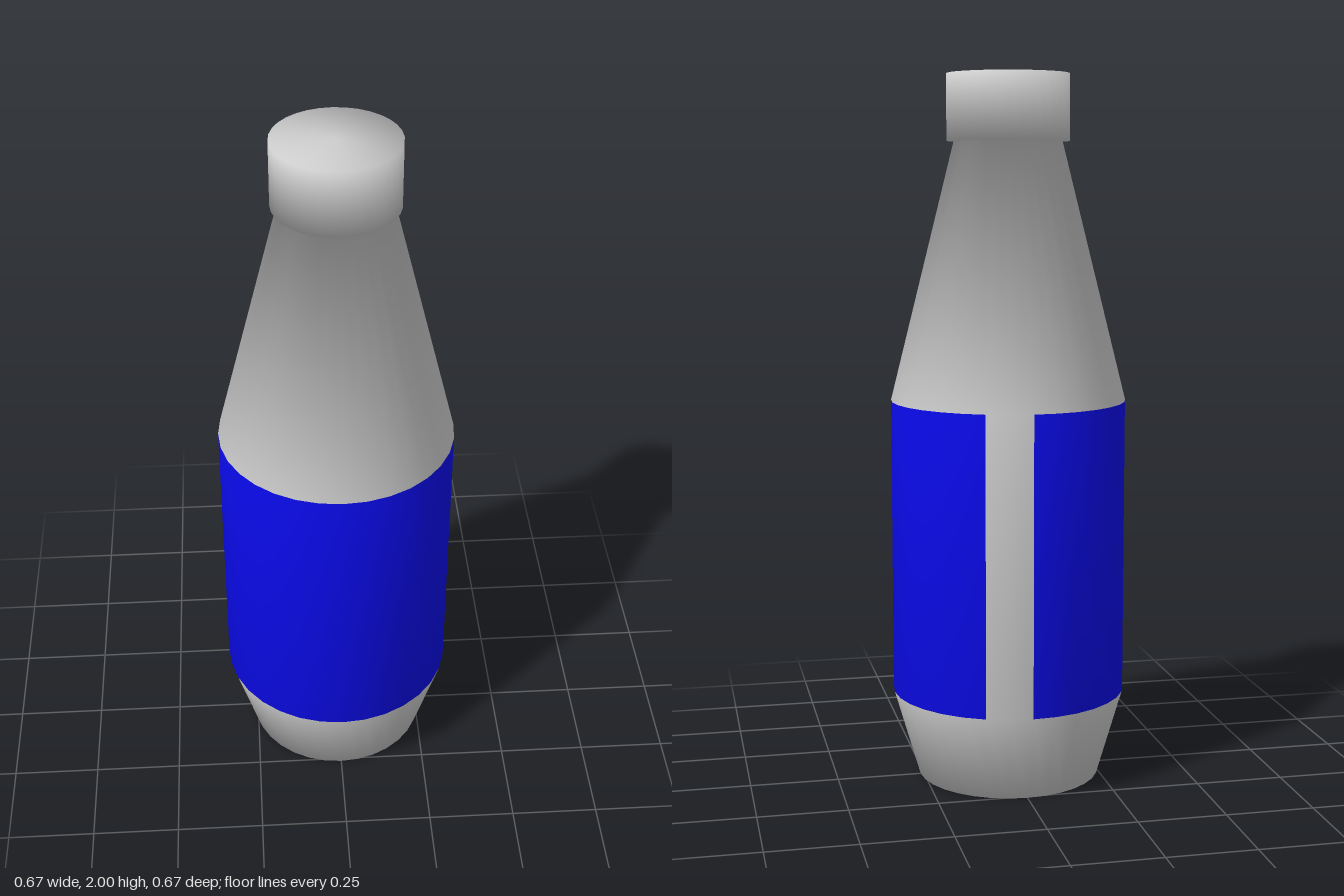
import * as THREE from 'three';

// Whole outline, bottom to top: [radius, height]
const PROFILE = [
  [0, 0], [0.26, 0], [0.333, 0.25], [0.333, 1.09],
  [0.152, 1.815], [0.172, 1.815], [0.172, 2], [0, 2],
].map(([r, y]) => new THREE.Vector2(r, y));

const SIDES = 32;
const STEP = (Math.PI * 2) / SIDES;

// Outward unit normal of each outline segment
const SEGMENT_NORMALS = PROFILE.slice(1).map((p, i) => {
  const d = p.clone().sub(PROFILE[i]);
  return new THREE.Vector2(d.y, -d.x).normalize();
});

// Smooth normal at each outline point: even mix of its two segments
const NORMALS = PROFILE.map((p, i) => {
  const a = SEGMENT_NORMALS[Math.max(i - 1, 0)];
  const b = SEGMENT_NORMALS[Math.min(i, SEGMENT_NORMALS.length - 1)];
  return a.clone().add(b).normalize();
});

// Revolve outline points first..last, over a number of sides starting at a given side
function turned(name, first, last, material, startSide = 0, sides = SIDES) {
  const points = PROFILE.slice(first, last + 1);
  const start = startSide * STEP;
  const geometry = new THREE.LatheGeometry(points, sides, start, sides * STEP);
  const normal = geometry.attributes.normal;
  for (let i = 0; i < normal.count; i++) {
    const phi = start + Math.floor(i / points.length) * STEP;
    const n = NORMALS[first + (i % points.length)];
    normal.setXYZ(i, n.x * Math.sin(phi), n.y, n.x * Math.cos(phi));
  }
  const mesh = new THREE.Mesh(geometry, material);
  mesh.name = name;
  return mesh;
}

export function createModel() {
  const grey = new THREE.MeshStandardMaterial({ color: 0xcccccc });
  grey.name = 'bottleGrey';
  const blue = new THREE.MeshStandardMaterial({ color: 0x0a0ae7 });
  blue.name = 'labelBlue';

  const bottle = new THREE.Group();
  bottle.name = 'bottle';
  bottle.add(
    turned('base', 0, 2, grey),
    // Label wraps the body, leaving a two-sided strip bare at the back
    turned('label', 2, 3, blue, 16, 30),
    turned('bareStrip', 2, 3, grey, 14, 2),
    turned('neck', 3, 4, grey),
    turned('cap', 4, 7, grey),
  );
  return bottle;
}
